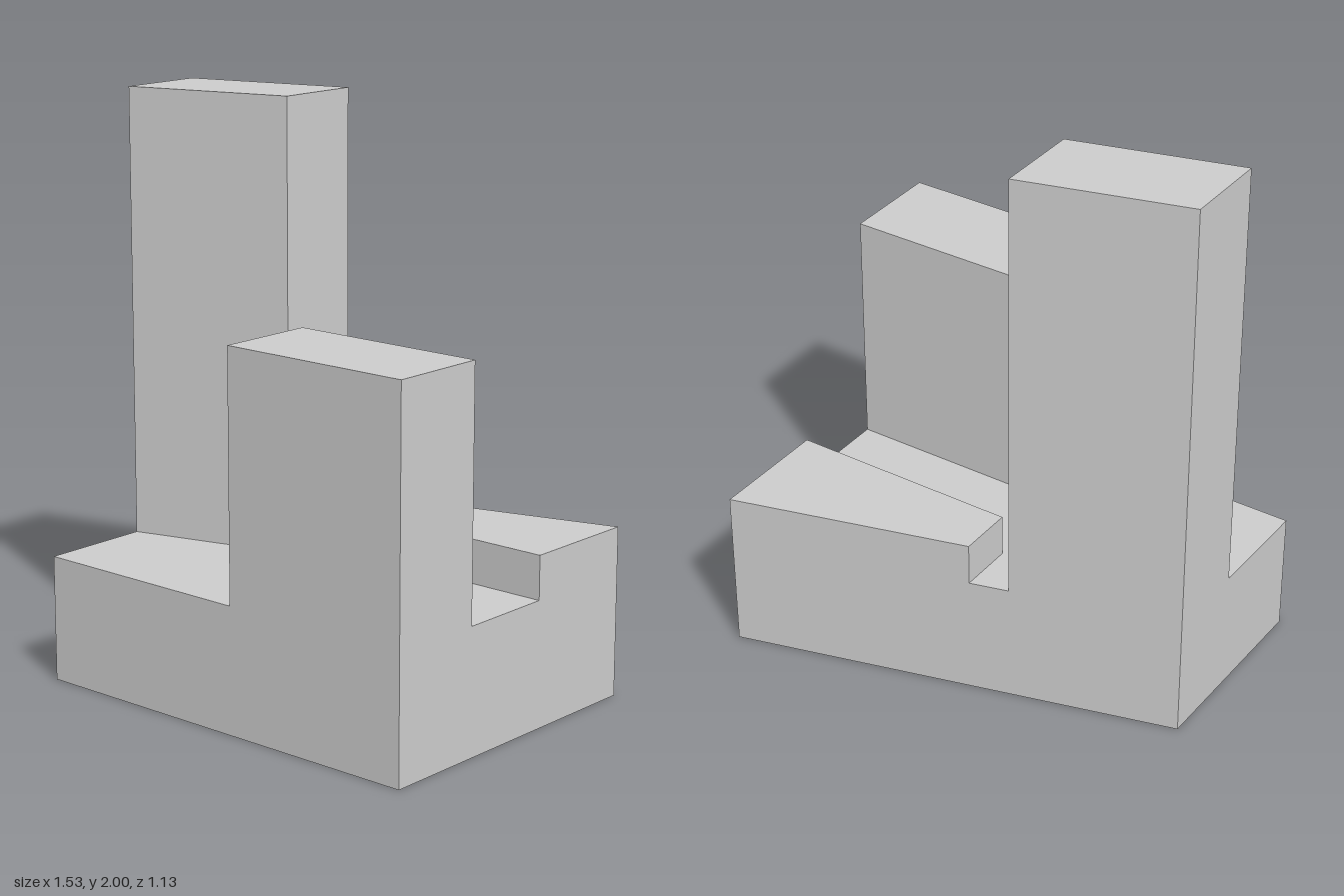
import * as THREE from 'three';

const HALF_X = 0.765;
const FRONT_Z = 0.565;
const BASE_TOP = 0.44;

// z of the slanted back wall at a given x
const backZ = (x) => -0.35 - 0.281 * x;

export function createModel() {
  const model = new THREE.Group();
  model.name = 'steppedBuilding';
  const material = new THREE.MeshStandardMaterial({ color: 0xcccccc, flatShading: true });

  // Upright prism over a footprint of [x, z] corners
  const addBlock = (name, footprint, bottom, top) => {
    const shape = new THREE.Shape(footprint.map(([x, z]) => new THREE.Vector2(x, -z)));
    const geometry = new THREE.ExtrudeGeometry(shape, { depth: top - bottom, bevelEnabled: false });
    geometry.rotateX(-Math.PI / 2).translate(0, bottom, 0);
    const mesh = new THREE.Mesh(geometry, material);
    mesh.name = name;
    model.add(mesh);
  };

  // Base with slanted back wall
  addBlock('base', [
    [-HALF_X, FRONT_Z], [HALF_X, FRONT_Z], [HALF_X, backZ(HALF_X)], [-HALF_X, backZ(-HALF_X)],
  ], 0, BASE_TOP);

  // Tall tower, its front parallel or nearly so to the back wall
  const towerX = -0.192;
  addBlock('tallTower', [
    [-HALF_X, 0.17], [towerX, 0.01], [towerX, backZ(towerX)], [-HALF_X, backZ(-HALF_X)],
  ], BASE_TOP, 2);

  // Medium block at the front left corner
  addBlock('frontBlock', [
    [0.056, FRONT_Z], [HALF_X, FRONT_Z], [HALF_X, 0.213], [0.056, 0.213],
  ], BASE_TOP, 1.295);

  // Low raised step along the back
  const stepX = -0.058;
  addBlock('backStep', [
    [stepX, -0.135], [HALF_X, -0.135], [HALF_X, backZ(HALF_X)], [stepX, backZ(stepX)],
  ], BASE_TOP, 0.592);

  return model;
}
